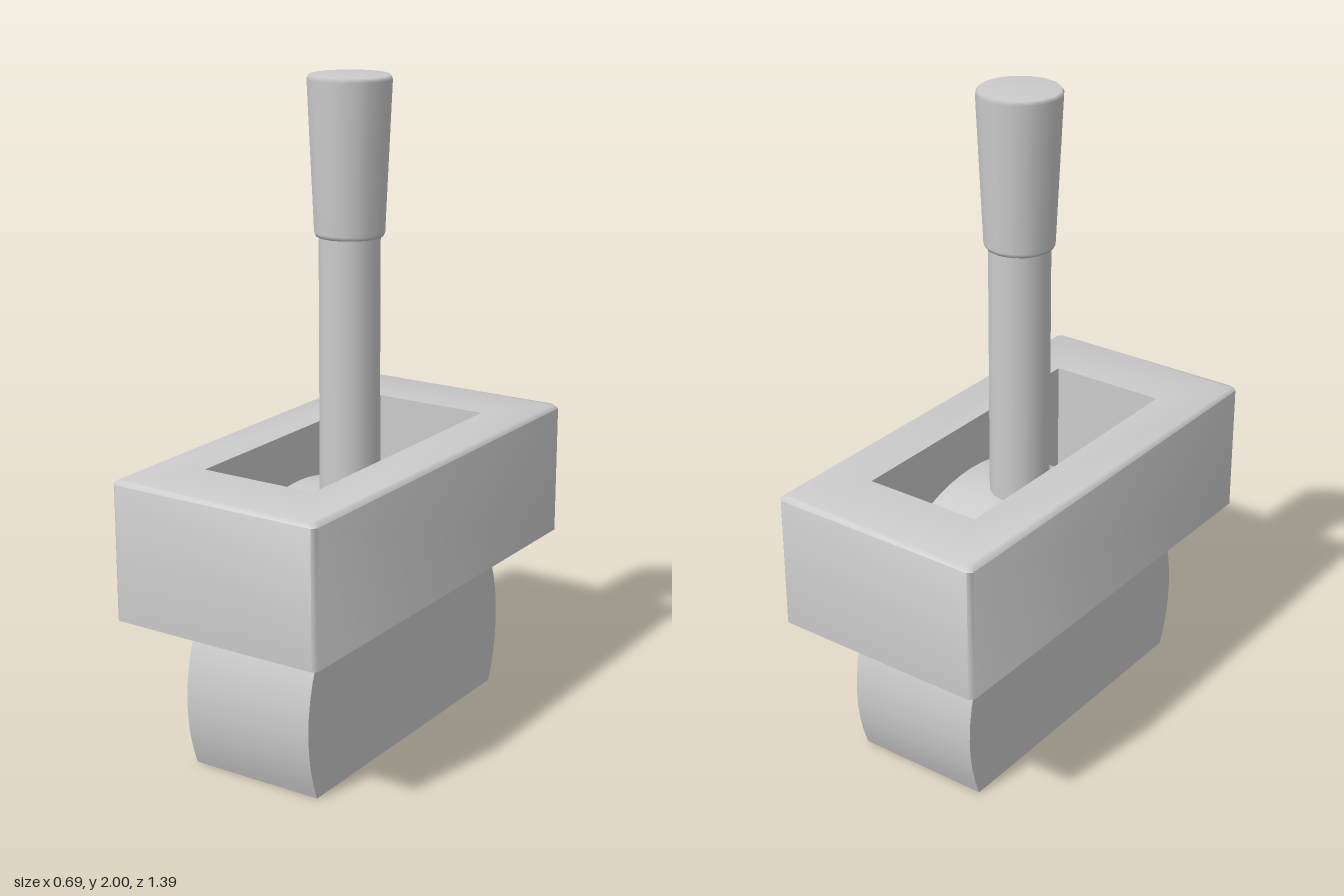
import * as THREE from 'three';
import { toCreasedNormals } from 'three/addons/utils/BufferGeometryUtils.js';

const SIDES = 16;
const HOUSING_BASE = 0.492;
const HOLE_X = 0.187, HOLE_Z = 0.468;
const material = new THREE.MeshStandardMaterial({ color: 0xcccccc });

function add(group, name, geometry, y = 0) {
  const mesh = new THREE.Mesh(geometry, material);
  mesh.name = name;
  mesh.position.y = y;
  group.add(mesh);
}

// Rectangle with chamfered corners
function chamferedRect(hx, hy, c) {
  return new THREE.Shape([
    [hx, -hy + c], [hx, hy - c], [hx - c, hy], [-hx + c, hy],
    [-hx, hy - c], [-hx, -hy + c], [-hx + c, -hy], [hx - c, -hy],
  ].map(([x, y]) => new THREE.Vector2(x, y)));
}

// Open-topped frame with a small chamfer around its upper outer edge
function housingGeometry() {
  const height = 0.42, bevel = 0.011;
  const shape = chamferedRect(0.346, 0.695, 0.013);
  shape.holes.push(new THREE.Path([
    new THREE.Vector2(-HOLE_X, -HOLE_Z), new THREE.Vector2(-HOLE_X, HOLE_Z),
    new THREE.Vector2(HOLE_X, HOLE_Z), new THREE.Vector2(HOLE_X, -HOLE_Z),
  ]));
  const geo = new THREE.ExtrudeGeometry(shape, { depth: height, steps: 2, bevelEnabled: false });
  const p = geo.attributes.position;
  for (let i = 0; i < p.count; i++) {
    const x = p.getX(i), y = p.getY(i), z = p.getZ(i);
    if (Math.abs(z - height / 2) < 0.01) p.setZ(i, height - bevel);
    else if (z > height / 2 && Math.abs(x) > 0.3) {
      p.setXY(i, x - Math.sign(x) * bevel, y - Math.sign(y) * bevel);
    }
  }
  geo.rotateX(-Math.PI / 2);
  return toCreasedNormals(geo, 0.85);
}

// Round drum cut flat at the bottom, extruded across x
function drumGeometry() {
  const r = 0.54, cy = 0.21, width = 0.43;
  const start = -Math.asin(cy / r);
  const shape = new THREE.Shape();
  shape.absarc(0, cy, r, start, Math.PI - start, false);
  const geo = new THREE.ExtrudeGeometry(shape, { depth: width, bevelEnabled: false, curveSegments: 20 });
  geo.translate(0, 0, -width / 2).rotateY(Math.PI / 2);
  return toCreasedNormals(geo, 0.6);
}

export function createModel() {
  const group = new THREE.Group();
  group.name = 'leverSwitch';

  add(group, 'housing', housingGeometry(), HOUSING_BASE);

  // Thin floor closing the slot around the drum
  add(group, 'housingFloor', new THREE.BoxGeometry(2 * HOLE_X, 0.02, 2 * HOLE_Z), HOUSING_BASE + 0.01);
  add(group, 'drum', drumGeometry());

  // Lever shaft rising from the drum
  add(group, 'leverShaft', new THREE.CylinderGeometry(0.092, 0.092, 0.86, SIDES), 1.13);

  // Flared grip with softened rims
  const profile = [[0, 1.535], [0.099, 1.535], [0.105, 1.547], [0.125, 1.988], [0.118, 2], [0, 2]];
  add(group, 'leverGrip', new THREE.LatheGeometry(profile.map(([x, y]) => new THREE.Vector2(x, y)), SIDES));

  return group;
}
